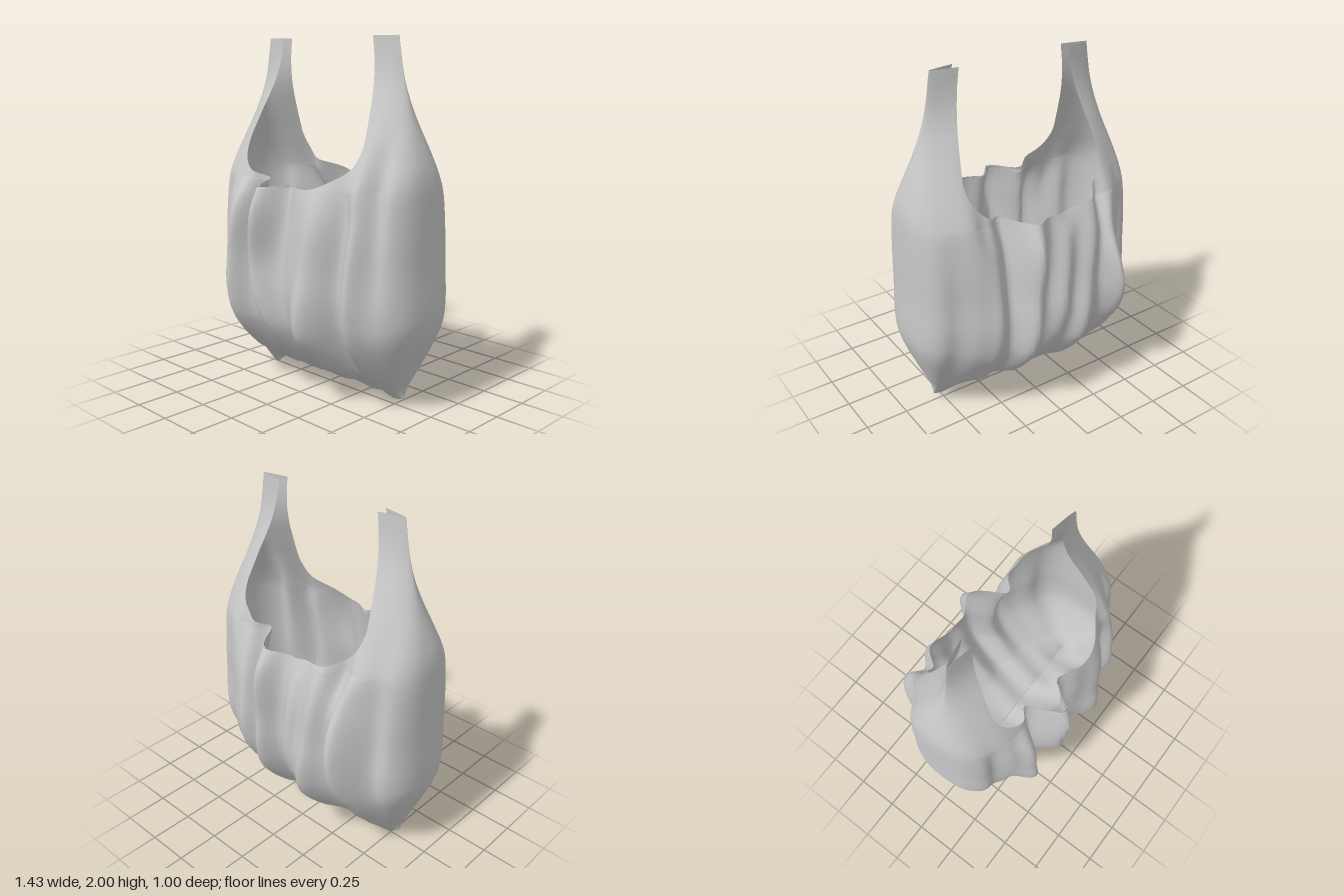
import * as THREE from 'three';
import { mergeVertices } from 'three/addons/utils/BufferGeometryUtils.js';

// Smooth interpolation through [position, value] pairs
function spline(pts) {
  const slope = i => {
    const a = pts[Math.max(0, i - 1)], b = pts[Math.min(pts.length - 1, i + 1)];
    return (b[1] - a[1]) / (b[0] - a[0]);
  };
  return p => {
    let i = 0;
    while (i < pts.length - 2 && p > pts[i + 1][0]) i++;
    const [x0, v0] = pts[i], [x1, v1] = pts[i + 1], h = x1 - x0;
    const t = THREE.MathUtils.clamp((p - x0) / h, 0, 1), t2 = t * t, t3 = t2 * t;
    return v0 * (2 * t3 - 3 * t2 + 1) + v1 * (3 * t2 - 2 * t3)
      + h * (slope(i) * (t3 - 2 * t2 + t) + slope(i + 1) * (t3 - t2));
  };
}

// Half width, half depth, roundness of the section and fold strength by height
const halfWidth = spline([[0.04, 0.565], [0.1, 0.572], [0.2, 0.61], [0.4, 0.69], [0.52, 0.716], [0.8, 0.71],
  [1.0, 0.708], [1.2, 0.703], [1.3, 0.69], [1.4, 0.661], [1.6, 0.59], [1.8, 0.53], [2, 0.495]]);
const halfDepth = spline([[0.04, 0.001], [0.1, 0.09], [0.2, 0.215], [0.4, 0.355], [0.58, 0.4], [0.8, 0.395],
  [1.0, 0.385], [1.2, 0.355], [1.3, 0.318], [1.4, 0.277], [1.5, 0.238], [1.6, 0.197], [1.7, 0.145],
  [1.8, 0.1], [1.9, 0.074], [2, 0.067]]);
const roundness = spline([[0.04, 2.8], [1.15, 2.8], [1.4, 2.4], [1.6, 1.9], [1.8, 1.5], [2, 1.3]]);
const foldStrength = spline([[0.04, 0.0], [0.1, 0.2], [0.25, 0.65], [0.45, 1], [0.8, 1], [1.2, 1],
  [1.3, 0.7], [1.45, 0.3], [1.6, 0.08], [1.75, 0], [2, 0]]);

// Inner edge of the handles above the mouth
const MOUTH = 1.2, BEND = 1.45;
const handleInner = spline([[BEND, 0.44], [1.6, 0.415], [1.8, 0.375], [2, 0.343]]);
function innerEdge(y) {
  if (y <= MOUTH) return 0;
  if (y >= BEND) return handleInner(y);
  return 0.44 * Math.pow(1 - Math.pow(1 - (y - MOUTH) / (BEND - MOUTH), 2.5), 0.4);
}

// Vertical folds: centre and height low down, halfway, near the top and at the mouth, then spread
const fold = (centres, heights, spread) => {
  const levels = [0.4, 0.75, 1.05, 1.22];
  return {
    centre: spline(levels.map((y, i) => [y, centres[i]])),
    height: spline(levels.map((y, i) => [y, heights[i]])),
    spread,
  };
};
const frontFolds = [
  fold([-0.56, -0.55, -0.54, -0.54], [-0.03, -0.03, -0.03, -0.01], 0.05),
  fold([-0.46, -0.46, -0.48, -0.48], [-0.035, 0.0, 0.02, 0.0], 0.045),
  fold([-0.37, -0.38, -0.37, -0.36], [0.08, 0.085, 0.06, -0.01], 0.06),
  fold([-0.25, -0.28, -0.25, -0.23], [-0.025, -0.07, -0.1, -0.1], 0.06),
  fold([-0.09, -0.16, -0.13, -0.12], [0.055, 0.08, 0.115, 0.09], 0.068),
  fold([0.02, -0.01, 0.0, 0.0], [-0.02, -0.03, -0.05, -0.06], 0.065),
  fold([0.2, 0.22, 0.25, 0.23], [0.11, 0.065, 0.045, 0.02], 0.09),
  fold([0.36, 0.38, 0.41, 0.4], [-0.06, -0.05, -0.045, -0.03], 0.06),
  fold([0.47, 0.48, 0.49, 0.48], [0.045, 0.045, 0.025, 0.02], 0.05),
  fold([0.6, 0.58, 0.57, 0.56], [0.0, -0.025, -0.045, -0.055], 0.05),
];
const backFolds = [
  fold([-0.56, -0.56, -0.56, -0.56], [-0.03, -0.05, -0.04, -0.02], 0.06),
  fold([-0.48, -0.43, -0.4, -0.44], [0.06, 0.14, 0.05, 0.0], 0.062),
  fold([-0.36, -0.34, -0.36, -0.37], [-0.02, -0.01, -0.04, -0.06], 0.045),
  fold([-0.18, -0.22, -0.26, -0.28], [0.09, 0.07, 0.055, 0.03], 0.07),
  fold([-0.05, -0.07, -0.1, -0.13], [0.01, 0.045, 0.02, -0.02], 0.05),
  fold([0.04, 0.03, 0.0, -0.02], [-0.035, -0.025, -0.015, -0.02], 0.055),
  fold([0.15, 0.13, 0.12, 0.1], [0.075, 0.075, 0.095, 0.04], 0.062),
  fold([0.25, 0.24, 0.24, 0.25], [-0.035, -0.07, -0.1, -0.13], 0.06),
  fold([0.34, 0.33, 0.35, 0.37], [0.02, 0.025, -0.01, -0.04], 0.055),
  fold([0.55, 0.54, 0.55, 0.55], [-0.035, -0.035, -0.02, -0.01], 0.08),
];
function foldDepth(list, x, y) {
  let sum = 0;
  for (const f of list) {
    const d = (x - f.centre(y)) / f.spread;
    sum += f.height(y) * Math.exp(-d * d);
  }
  return sum * foldStrength(y);
}

// A point of the film: side is 1 or -1, front is 1 or -1, t runs from side seam to centre
function filmPoint(side, front, t, y) {
  const w = halfWidth(y), inner = innerEdge(y), n = roundness(y);
  const ax = w - (w - inner) * Math.pow(t, 1.7), x = side * ax;
  const round = Math.pow(Math.max(0, 1 - Math.pow(ax / w, n)), 1 / n);
  const fade = THREE.MathUtils.smoothstep(round, 0.2, 0.8);
  const z = front * (halfDepth(y) * round + fade * foldDepth(front > 0 ? frontFolds : backFolds, x, y));
  // Frilled bottom seam
  const low = Math.max(0, 1 - (y - 0.04) / 0.16);
  const dip = c => Math.exp(-(((x - c) / 0.06) ** 2));
  const frill = 0.016 + 0.01 * Math.sin(x * 30 + 1) - 0.055 * dip(-0.46) - 0.025 * dip(0.47);
  // Slight waviness at the mouth
  const rim = THREE.MathUtils.smoothstep(y, 1.0, 1.2) * (1 - THREE.MathUtils.smoothstep(y, 1.2, 1.45));
  return [x, Math.max(0, y + low * frill + rim * 0.007 * Math.sin(x * 19 + front)), z];
}

function filmGeometry() {
  const rows = [];
  for (let i = 0; i < 58; i++) rows.push(0.04 + (MOUTH - 0.04) * i / 58);
  for (let i = 0; i < 24; i++) rows.push(MOUTH + (BEND - MOUTH) * Math.pow(i / 24, 2.2));
  for (let i = 0; i <= 24; i++) rows.push(BEND + (2 - BEND) * i / 24);
  const COLS = 56, stride = COLS * 2 + 1, positions = [], index = [];
  for (const side of [1, -1]) {
    const base = positions.length / 3;
    rows.forEach((y, i) => {
      for (let j = -COLS; j <= COLS; j++) {
        positions.push(...filmPoint(side, j <= 0 ? 1 : -1, Math.abs(j) / COLS, y));
        if (i === rows.length - 1 || j === COLS) continue;
        const a = base + i * stride + j + COLS, b = a + 1, c = a + stride, d = c + 1;
        if (side > 0) index.push(a, b, d, a, d, c);
        else index.push(a, d, b, a, c, d);
      }
    });
  }
  const geometry = new THREE.BufferGeometry();
  geometry.setAttribute('position', new THREE.Float32BufferAttribute(positions, 3));
  geometry.setIndex(index);
  const merged = mergeVertices(geometry, 1e-5);
  merged.computeVertexNormals();
  return merged;
}

export function createModel() {
  const film = new THREE.MeshStandardMaterial({ color: 0xc8c8c8, side: THREE.DoubleSide });
  film.name = 'greyPlasticFilm';
  const bag = new THREE.Mesh(filmGeometry(), film);
  bag.name = 'bagBodyWithHandles';
  const model = new THREE.Group();
  model.name = 'carrierBag';
  model.add(bag);
  return model;
}
